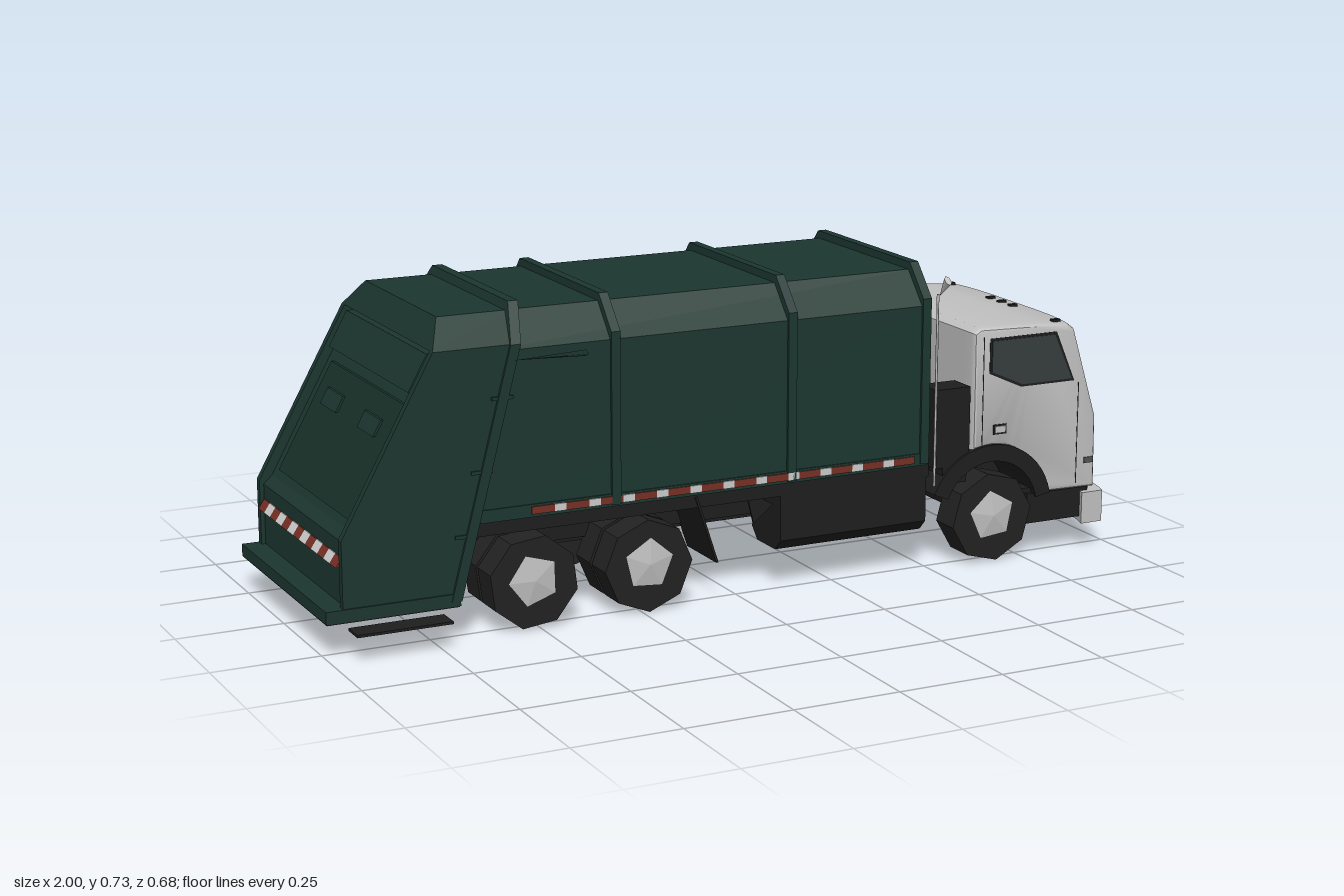
import * as THREE from 'three';
import { toCreasedNormals } from 'three/addons/utils/BufferGeometryUtils.js';

const mat = (name, color) => Object.assign(new THREE.MeshStandardMaterial({ color }), { name });

export function createModel() {
  const green = mat('body green', 0x1c362f), grey = mat('cab grey', 0xc0c0c0), dark = mat('chassis black', 0x1e1e1e),
    glass = mat('windshield glass', 0x474e4f), sideGlass = mat('side glass', 0x373d3e), lamp = mat('lamp grey', 0x4d5455),
    red = mat('reflector red', 0x762f24), white = mat('reflector white', 0xcccccc), deep = mat('shadow green', 0x19312a),
    tyre = mat('tyre black', 0x222222);
  const model = new THREE.Group();

  const add = (name, geo, material) => {
    const m = new THREE.Mesh(geo, material);
    m.name = name;
    model.add(m);
    return m;
  };
  // box given by its limits
  const box = (name, x0, x1, y0, y1, z0, z1, material) =>
    add(name, new THREE.BoxGeometry(x1 - x0, y1 - y0, z1 - z0)
      .translate((x0 + x1) / 2, (y0 + y1) / 2, (z0 + z1) / 2), material);
  const both = (fn) => [1, -1].forEach(fn);
  const sideBox = (name, x0, x1, y0, y1, z0, z1, material) => both((s) =>
    box(name, x0, x1, y0, y1, Math.min(s * z0, s * z1), Math.max(s * z0, s * z1), material));
  // stacked block: rows of [y, back x, front x, half width]
  const stack = (name, rows, material, z = 0) => {
    const n = rows.length - 1, g = new THREE.BoxGeometry(1, 1, 1, 1, n, 1).toNonIndexed(), p = g.attributes.position;
    for (let i = 0; i < p.count; i++) {
      const r = rows[Math.round((p.getY(i) + 0.5) * n)];
      p.setXYZ(i, p.getX(i) < 0 ? r[1] : r[2], r[0], z + Math.sign(p.getZ(i)) * r[3]);
    }
    g.computeVertexNormals();
    return add(name, g, material);
  };
  const shapeOf = (pts) => new THREE.Shape(pts.map((q) => new THREE.Vector2(...q)));
  // thin plate parallel to the side of the truck
  const sidePlate = (name, pts, z, material) => both((s) =>
    add(name, new THREE.ExtrudeGeometry(shapeOf(pts), { depth: 0.006, bevelEnabled: false })
      .translate(0, 0, s * z - 0.003), material));

  // load container, chamfered along the top
  const container = (name, x0, x1, half, top) => stack(name, [[0.262, x0, x1, half],
    [top - 0.075, x0, x1, half], [top, x0, x1, half - 0.066]], green);
  container('container', -0.64, 0.485, 0.281, 0.712);
  for (const x of [-0.315, 0.125, 0.475]) container('containerRib', x - 0.011, x + 0.011, 0.287, 0.73);
  sideBox('containerRail', -0.64, 0.485, 0.258, 0.287, 0.27, 0.284, green);

  // tailgate with recessed back, raised cheeks, slanted rib and details
  stack('tailgate', [[0.085, -0.95, -0.7, 0.283], [0.25, -0.95, -0.652, 0.283], [0.27, -0.929, -0.65, 0.283],
    [0.64, -0.723, -0.553, 0.283], [0.65, -0.743, -0.55, 0.283], [0.712, -0.708, -0.534, 0.218]], green);
  both((s) => stack('tailgateCheek', [[0.085, -0.96, -0.9, 0.009], [0.26, -0.96, -0.9, 0.009],
    [0.65, -0.743, -0.68, 0.009]], green, s * 0.274));
  stack('tailgateRib', [[0.09, -0.712, -0.688, 0.289], [0.65, -0.565, -0.541, 0.289],
    [0.732, -0.543, -0.519, 0.222]], green);
  box('rearPlatform', -1, -0.69, 0.08, 0.108, -0.287, 0.287, green);
  box('platformUnderside', -0.998, -0.692, 0.077, 0.081, -0.285, 0.285, dark);
  const slope = (y) => -0.935 + (y - 0.26) * 0.5556;
  const slopePlate = (name, y0, y1, half, out, material, z = 0) => stack(name,
    [[y0, slope(y0) - out, slope(y0) + 0.02, half], [y1, slope(y1) - out, slope(y1) + 0.02, half]], material, z);
  slopePlate('rearPanel', 0.29, 0.53, 0.23, 0.006, deep);
  slopePlate('rearBar', 0.56, 0.64, 0.25, 0.02, green);
  both((s) => slopePlate('rearGrip', 0.45, 0.485, 0.05, 0.012, green, s * 0.12));
  sideBox('floatingStep', -0.95, -0.73, 0.06, 0.066, 0.285, 0.342, dark);
  for (const [x, y] of [[-0.7, 0.23], [-0.66, 0.37], [-0.61, 0.53]])
    sideBox('hinge', x, x + 0.05, y, y + 0.008, 0.28, 0.287, green);
  add('sideLever', new THREE.ConeGeometry(0.014, 0.17, 4).rotateZ(Math.PI / 2).scale(1, 0.5, 1)
    .translate(-0.475, 0.617, 0.295), deep);

  // reflective strips
  for (let i = 0, x = -0.52; x < 0.43; i++) {
    const w = i % 2 ? 0.028 : 0.055;
    sideBox('sideReflector', x, x + w, 0.265, 0.282, 0.283, 0.287, i % 2 ? white : red);
    x += w;
  }
  for (let i = 0; i < 13; i++)
    stack('rearReflector', [[0.195, -0.966, -0.94, 0.02], [0.216, -0.952, -0.94, 0.02]],
      i % 2 ? white : red, -0.24 + i * 0.04);

  // chassis and equipment under the body
  box('chassis', -0.66, 0.93, 0.14, 0.25, -0.125, 0.125, dark);
  box('floor', -0.66, 0.495, 0.225, 0.263, -0.272, 0.272, dark);
  both((s) => stack('sideTank', [[0.092, 0.105, 0.49, 0.045], [0.118, 0.105, 0.49, 0.07],
    [0.225, 0.105, 0.49, 0.07]], dark, s * 0.2));
  sideBox('skirt', -0.64, 0.1, 0.15, 0.24, 0.1, 0.135, dark);
  sideBox('cabStep', 0.77, 0.94, 0.075, 0.148, 0.13, 0.272, dark);
  box('cabFloor', 0.61, 0.95, 0.14, 0.16, -0.26, 0.26, dark);
  sidePlate('bracket', [[0.03, 0.24], [0.1, 0.2], [0.05, 0.16]], 0.24, dark);
  both((s) => stack('mudFlap', [[0.09, -0.062, -0.056, 0.075], [0.25, -0.115, -0.109, 0.075]], dark, s * 0.2));
  // gap between cab and container
  for (const [z0, z1, y] of [[-0.275, -0.19, 0.43], [-0.13, -0.02, 0.36], [0, 0.17, 0.38], [0.2, 0.272, 0.43]])
    box('rearEquipment', 0.512, 0.605, 0.24, y, z0, z1, dark);
  box('equipmentBeam', 0.535, 0.6, 0.2, 0.26, -0.27, 0.27, dark);
  add('mirrorRod', new THREE.CylinderGeometry(0.003, 0.003, 0.46, 6).translate(0.51, 0.43, 0.274), grey);
  add('rodTip', new THREE.ConeGeometry(0.014, 0.055, 6).rotateX(Math.PI + 0.7).scale(0.6, 1, 1)
    .translate(0.51, 0.678, 0.299), grey);

  // faceted wheels
  const wheel = (x, z, width, s, hub) => {
    add('tyre', new THREE.CylinderGeometry(0.108, 0.108, width, 8).toNonIndexed()
      .rotateX(Math.PI / 2).rotateZ(0.25 + x).translate(x, 0.108, s * z), tyre).geometry.computeVertexNormals();
    if (!hub) return;
    const g = new THREE.ConeGeometry(0.076, 0.01, 5).toNonIndexed().rotateX(s * Math.PI / 2)
      .rotateZ(x * 3).translate(x, 0.113, s * (z + width / 2 + 0.003));
    g.computeVertexNormals();
    add('hub', g, grey);
  };
  both((s) => {
    for (const x of [-0.515, -0.235]) {
      wheel(x, 0.162, 0.074, s, false);
      wheel(x, 0.247, 0.074, s, true);
    }
    wheel(0.665, 0.246, 0.077, s, true);
  });
  for (const x of [-0.515, -0.235, 0.665])
    add('axle', new THREE.CylinderGeometry(0.025, 0.025, 0.44, 8).rotateX(Math.PI / 2).translate(x, 0.112, 0), dark);
  // front wheel arches
  const arch = new THREE.Shape();
  arch.absarc(0.665, 0.115, 0.168, 0.2, 2.75, false);
  arch.absarc(0.665, 0.115, 0.128, 2.75, 0.2, true);
  both((s) => add('wheelArch', new THREE.ExtrudeGeometry(arch, { depth: 0.15, bevelEnabled: false, curveSegments: 10 })
    .translate(0, 0, s > 0 ? 0.128 : -0.278), dark));

  // cab: side profile swept across, then bowed at the front
  const bow = (x, z) => x - 0.022 * Math.abs(z / 0.275) ** 4 * THREE.MathUtils.clamp((x - 0.7) / 0.2, 0, 1);
  const bend = (g) => {
    const p = g.attributes.position;
    for (let i = 0; i < p.count; i++) p.setX(i, bow(p.getX(i), p.getZ(i)));
    return g;
  };
  const side = new THREE.Shape();
  side.moveTo(0.612, 0.272);
  side.absarc(0.665, 0.115, 0.165, 1.89, 0.2, true);
  for (const q of [[0.98, 0.145], [0.978, 0.32], [0.911, 0.54], [0.892, 0.554], [0.8, 0.561], [0.63, 0.566], [0.612, 0.555]])
    side.lineTo(...q);
  const cab = new THREE.ExtrudeGeometry(side, { depth: 0.52, steps: 16, curveSegments: 8, bevelEnabled: true,
    bevelSize: 0.01, bevelOffset: -0.01, bevelThickness: 0.015, bevelSegments: 3 }).translate(0, 0, -0.26);
  add('cab', toCreasedNormals(bend(cab), 0.6), grey);

  // thin plates that follow the cab front
  const front = (y) => (y < 0.32 ? 0.98 - (y - 0.145) * 0.0114 : 0.978 - (y - 0.32) * 0.3045);
  const frontPlate = (name, z0, z1, y0, y1, out, material) => {
    const g = new THREE.PlaneGeometry(z1 - z0, y1 - y0, 16, 4).rotateY(Math.PI / 2)
      .translate(0, (y0 + y1) / 2, (z0 + z1) / 2), p = g.attributes.position;
    for (let i = 0; i < p.count; i++) p.setX(i, bow(front(p.getY(i)), p.getZ(i)) + out);
    g.computeVertexNormals();
    return add(name, g, material);
  };
  frontPlate('windshieldSeal', -0.261, 0.261, 0.367, 0.546, 0.003, dark);
  both((s) => {
    const plate = (name, a, b, y0, y1, out, m) =>
      frontPlate(name, Math.min(s * a, s * b), Math.max(s * a, s * b), y0, y1, out, m);
    plate('windshield', 0.003, 0.256, 0.373, 0.542, 0.006, glass);
    plate('headlight', 0.136, 0.181, 0.203, 0.229, 0.004, lamp);
    plate('headlight', 0.191, 0.237, 0.203, 0.229, 0.004, lamp);
    plate('cornerLight', 0.262, 0.274, 0.208, 0.222, 0.006, lamp);
    plate('frontSeam', 0.246, 0.247, 0.147, 0.365, 0.002, dark);
  });
  // wipers
  both((s) => add('wiper', new THREE.BoxGeometry(0.006, 0.006, 0.13).rotateX(s * 0.29)
    .translate(0.971, 0.371, s * 0.128), dark));
  both((s) => add('wiperArm', new THREE.BoxGeometry(0.005, 0.004, 0.12)
    .translate(0.964, 0.386, s * 0.085), dark));
  // grille
  frontPlate('grilleFrame', -0.121, 0.121, 0.146, 0.322, 0.002, dark);
  frontPlate('grillePanel', -0.12, 0.12, 0.146, 0.321, 0.003, grey);
  for (let i = 0; i < 16; i++)
    frontPlate('grilleSlot', -0.117, 0.117, 0.149 + i * 0.0096, 0.1547 + i * 0.0096, 0.005, dark);

  // side windows, doors and handles
  sidePlate('windowSeal', [[0.654, 0.54], [0.654, 0.456], [0.742, 0.416], [0.891, 0.416], [0.838, 0.54]], 0.273, dark);
  sidePlate('sideWindow', [[0.66, 0.534], [0.66, 0.46], [0.745, 0.422], [0.882, 0.422], [0.832, 0.534]], 0.275, sideGlass);
  sideBox('doorSeam', 0.903, 0.905, 0.16, 0.41, 0.272, 0.2757, dark);
  sideBox('doorSeam', 0.637, 0.639, 0.285, 0.545, 0.272, 0.2757, dark);
  sideBox('handlePlate', 0.668, 0.704, 0.307, 0.331, 0.272, 0.277, dark);
  sideBox('handle', 0.672, 0.7, 0.311, 0.327, 0.274, 0.28, grey);
  sideBox('sideMarker', 0.925, 0.95, 0.208, 0.222, 0.27, 0.278, lamp);
  for (const z of [-0.24, -0.05, 0, 0.05, 0.24]) box('roofLight', 0.845, 0.866, 0.55, 0.562, z - 0.006, z + 0.006, dark);

  // bumper with fog lights
  const bumper = new THREE.BoxGeometry(0.058, 0.077, 0.58, 1, 1, 20).translate(0.97, 0.1, 0);
  add('bumper', toCreasedNormals(bend(bumper), 0.5), grey);
  both((s) => box('fogLight', 0.985, 1, 0.084, 0.118, s * 0.142 - 0.016, s * 0.142 + 0.016, dark));
  return model;
}
